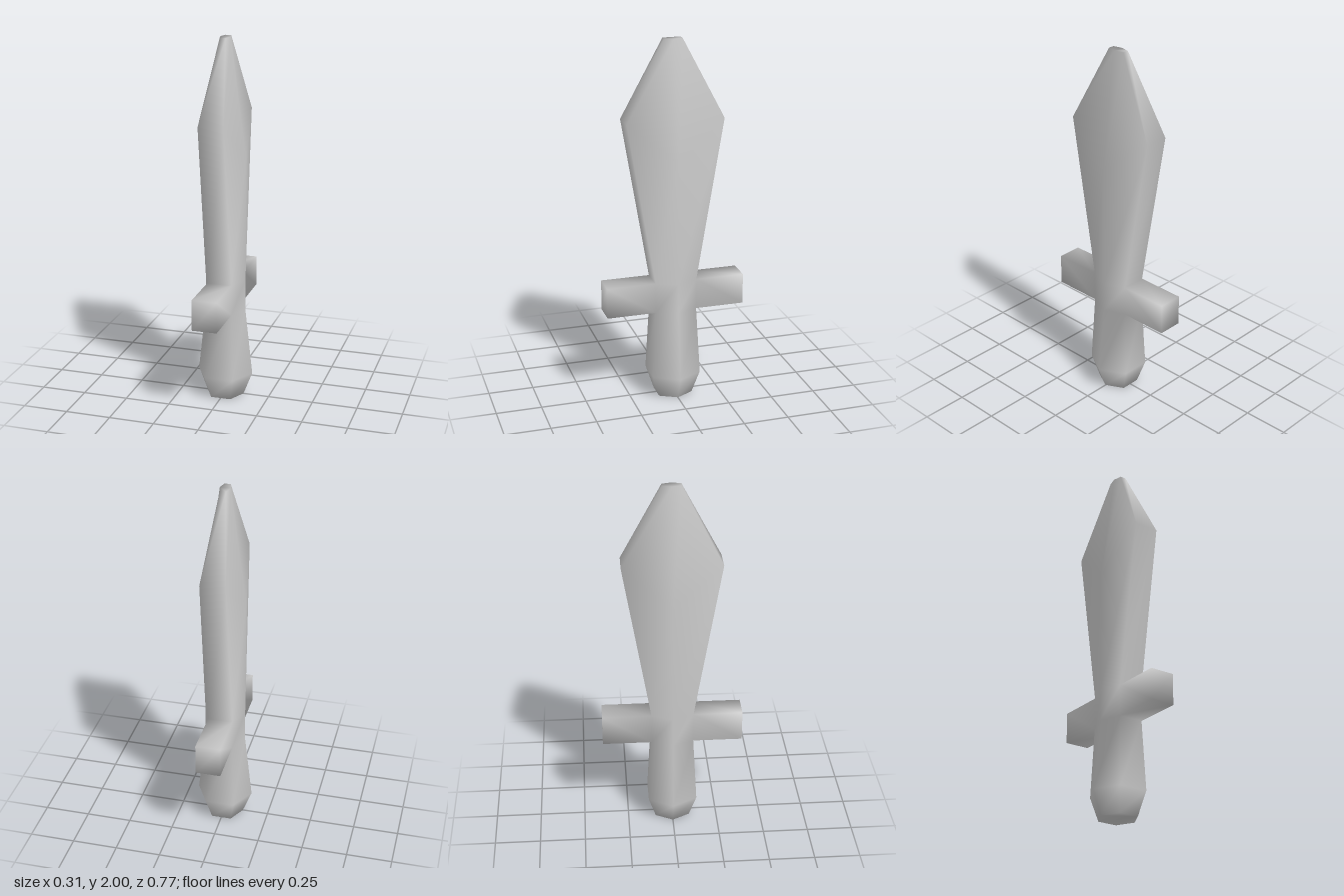
import * as THREE from 'three';

// Hexagonal sections: ridge (x = w at z = 0, height yr) and flat edge (x = e, z = d, height ye)
const SECTIONS = [
  { w: 0.105, yr: 0, e: 0.055, d: 0.095, ye: 0 },       // pommel base
  { w: 0.155, yr: 0.13, e: 0.08, d: 0.135, ye: 0.13 },  // grip swell
  { w: 0.113, yr: 0.51, e: 0.068, d: 0.115, ye: 0.51 }, // under the guard
  { w: 0.113, yr: 0.68, e: 0.068, d: 0.115, ye: 0.68 }, // over the guard
  { w: 0.113, yr: 1.36, e: 0.068, d: 0.266, ye: 1.575 },// widest blade
  { w: 0.028, yr: 2, e: 0.016, d: 0.05, ye: 2 },        // blunt tip
];
const GUARD_REACH = 0.385;

export function createModel() {
  const positions = [];
  const parts = { handle: [], guard: [], blade: [] };
  const addVertex = (x, y, z) => positions.push(x, y, z) / 3 - 1;
  const quad = (list, a, b, c, d) => list.push(a, b, c, a, c, d);
  const hexCap = (list, r) => {
    quad(list, r[0], r[1], r[2], r[3]);
    quad(list, r[0], r[3], r[4], r[5]);
  };

  const rings = SECTIONS.map(({ w, yr, e, d, ye }) => [
    addVertex(w, yr, 0), addVertex(e, ye, -d), addVertex(-e, ye, -d),
    addVertex(-w, yr, 0), addVertex(-e, ye, d), addVertex(e, ye, d),
  ]);

  // Handle, collar and blade walls; the collar edges grow into guard arms
  const owner = ['handle', 'handle', 'guard', 'blade', 'blade'];
  owner.forEach((name, k) => {
    const low = rings[k], high = rings[k + 1], list = parts[name];
    for (let i = 0; i < 6; i++) {
      const j = (i + 1) % 6;
      const loop = [low[i], low[j], high[j], high[i]];
      if (name !== 'guard' || (i !== 1 && i !== 4)) {
        quad(list, ...loop);
        continue;
      }
      const z = i === 1 ? -GUARD_REACH : GUARD_REACH;
      const end = loop.map((v) => addVertex(positions[v * 3], positions[v * 3 + 1], z));
      for (let s = 0; s < 4; s++) {
        const t = (s + 1) % 4;
        quad(list, loop[s], loop[t], end[t], end[s]);
      }
      quad(list, ...end);
    }
  });
  hexCap(parts.blade, rings[5]);
  hexCap(parts.handle, [...rings[0]].reverse());

  // Shared smooth normals so the shading flows between the parts
  const whole = new THREE.BufferGeometry();
  whole.setAttribute('position', new THREE.Float32BufferAttribute(positions, 3));
  whole.setIndex(Object.values(parts).flat());
  whole.computeVertexNormals();

  const material = new THREE.MeshStandardMaterial({ color: 0xcccccc });
  const group = new THREE.Group();
  group.name = 'sword';
  for (const [name, index] of Object.entries(parts)) {
    const geometry = new THREE.BufferGeometry();
    geometry.setAttribute('position', whole.attributes.position.clone());
    geometry.setAttribute('normal', whole.attributes.normal.clone());
    geometry.setIndex(index);
    const mesh = new THREE.Mesh(geometry, material);
    mesh.name = name;
    group.add(mesh);
  }
  return group;
}
